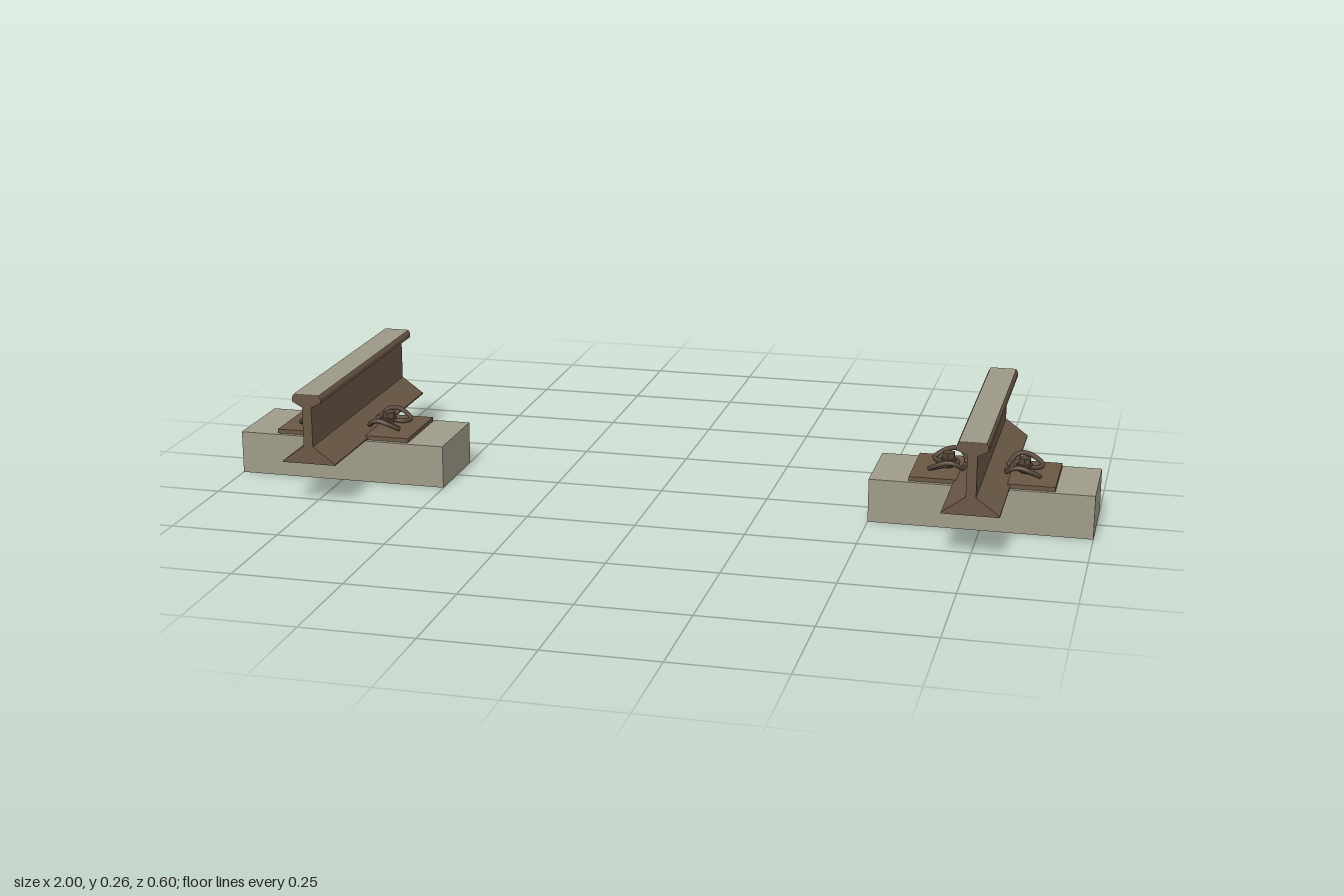
import * as THREE from 'three';

const mat = (name, color) => new THREE.MeshStandardMaterial({ name, color });
const concrete = mat('concrete', 0x9f9b89);
const rust = mat('rusty steel', 0x6a5745);
const clipSteel = mat('dark clip steel', 0x57473a);
const worn = mat('worn rail top', 0x9c9886);

function part(parent, name, geometry, material, x = 0, y = 0, z = 0) {
  const mesh = new THREE.Mesh(geometry, material);
  mesh.name = name;
  mesh.position.set(x, y, z);
  parent.add(mesh);
  return mesh;
}

// Rail section: half outline from foot to head, mirrored
function railGeometry() {
  const half = [
    [0.063, 0.102], [0.063, 0.105], [0.011, 0.143], [0.011, 0.235],
    [0.034, 0.247], [0.034, 0.257], [0.030, 0.264],
  ];
  const outline = [...half, ...half.slice().reverse().map(([x, y]) => [-x, y])];
  const shape = new THREE.Shape(outline.map(([x, y]) => new THREE.Vector2(x, y)));
  return new THREE.ExtrudeGeometry(shape, { depth: 0.6, bevelEnabled: false }).translate(0, 0, -0.3);
}

// W-shaped spring clip path, half of it mirrored in z
function clipGeometry() {
  const half = [
    [0.048, 0.121, 0.020], [0.050, 0.122, 0.040], [0.062, 0.134, 0.056],
    [0.080, 0.138, 0.059], [0.104, 0.130, 0.057], [0.122, 0.118, 0.044],
    [0.112, 0.116, 0.027], [0.088, 0.120, 0.018], [0.069, 0.122, 0.012],
  ];
  const points = [...half, [0.064, 0.122, 0], ...half.slice().reverse().map(([x, y, z]) => [x, y, -z])];
  const curve = new THREE.CatmullRomCurve3(points.map((p) => new THREE.Vector3(...p)));
  return { curve, geometry: new THREE.TubeGeometry(curve, 64, 0.0055, 8) };
}

// Clip, its closed ends and the bolt that holds it
function fastener() {
  const group = new THREE.Group();
  group.name = 'railFastener';
  const { curve, geometry } = clipGeometry();
  part(group, 'springClip', geometry, clipSteel);
  for (const t of [0, 1]) {
    const p = curve.getPoint(t);
    part(group, 'clipEnd', new THREE.SphereGeometry(0.0055, 8, 6), clipSteel, p.x, p.y, p.z);
  }
  part(group, 'boltShank', new THREE.CylinderGeometry(0.009, 0.009, 0.02, 12), clipSteel, 0.085, 0.118);
  part(group, 'washer', new THREE.CylinderGeometry(0.018, 0.018, 0.004, 16), clipSteel, 0.085, 0.129);
  const nut = new THREE.CylinderGeometry(0.015, 0.015, 0.015, 6).toNonIndexed();
  nut.computeVertexNormals();
  part(group, 'hexNut', nut, clipSteel, 0.085, 0.138);
  return group;
}

// One rail on its block, with plate and fasteners on both sides
function railAssembly(name) {
  const group = new THREE.Group();
  group.name = name;
  part(group, 'sleeperBlock', new THREE.BoxGeometry(0.5, 0.1, 0.2), concrete, 0, 0.05);
  part(group, 'basePlate', new THREE.BoxGeometry(0.324, 0.01, 0.18), rust, 0, 0.105);
  part(group, 'rail', railGeometry(), rust);
  part(group, 'runningSurface', new THREE.BoxGeometry(0.06, 0.002, 0.6), worn, 0, 0.264);
  const right = fastener();
  const left = fastener();
  left.rotation.y = Math.PI;
  group.add(right, left);
  return group;
}

export function createModel() {
  const model = new THREE.Group();
  model.name = 'railwayTrack';
  for (const [name, x] of [['leftRail', 0.75], ['rightRail', -0.75]]) {
    const assembly = railAssembly(name);
    assembly.position.x = x;
    model.add(assembly);
  }
  return model;
}
